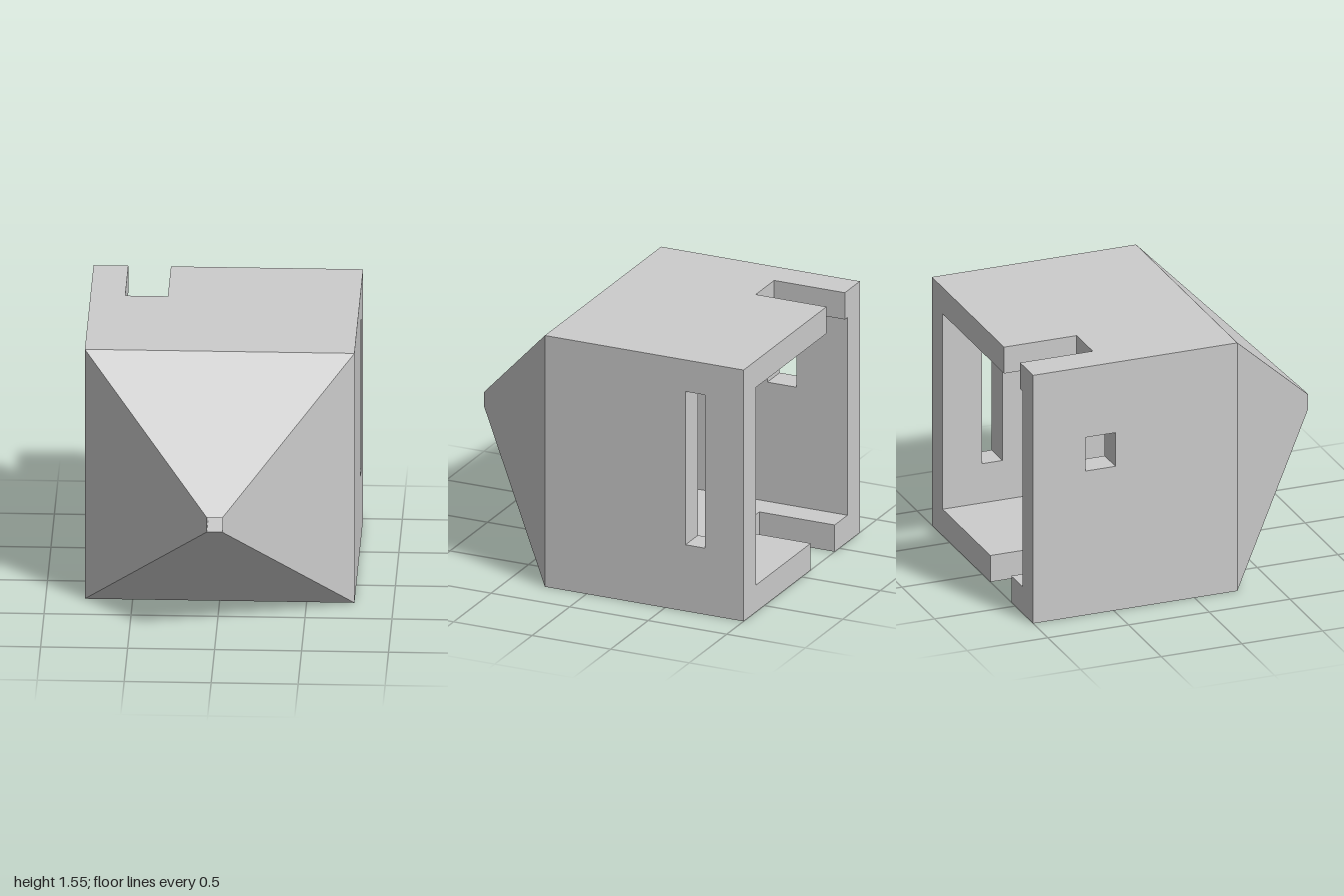
import * as THREE from 'three';

const HALF = 0.775;           // half width of the square housing
const HEIGHT = HALF * 2;
const WALL = 0.165;
const BACK = -1, INNER = 0.22, SHOULDER = 0.265, TIP = 1;
const BORE = 0.045;           // half width of the square bore in the nose

const material = new THREE.MeshStandardMaterial({ color: 0xcccccc, flatShading: true });

function polygon(points, Type = THREE.Shape) {
  return new Type(points.map(([a, b]) => new THREE.Vector2(a, b)));
}

function rectangle(a0, a1, b0, b1) {
  return [[a0, b0], [a1, b0], [a1, b1], [a0, b1]];
}

function panel(shape) {
  return new THREE.ExtrudeGeometry(shape, { depth: WALL, bevelEnabled: false });
}

// Horizontal plate drawn in (x, z), notched from its back edge
function notchedPlate(name, topY, x0, x1, depthZ) {
  const shape = polygon([
    [-HALF, BACK], [x0, BACK], [x0, depthZ], [x1, depthZ], [x1, BACK],
    [HALF, BACK], [HALF, INNER], [-HALF, INNER],
  ]);
  const mesh = new THREE.Mesh(panel(shape).rotateX(Math.PI / 2), material);
  mesh.name = name;
  mesh.position.y = topY;
  return mesh;
}

// Upright wall drawn in (z, y), pierced by one rectangular window
function windowedWall(name, outerX, z0, z1, y0, y1) {
  const shape = polygon(rectangle(BACK, INNER, WALL, HEIGHT - WALL));
  shape.holes.push(polygon(rectangle(z0, z1, y0, y1), THREE.Path));
  const mesh = new THREE.Mesh(panel(shape).rotateY(-Math.PI / 2), material);
  mesh.name = name;
  mesh.position.x = outerX;
  return mesh;
}

// Front wall and pyramid nose with a square bore: a four-sided lathe
function boredNose() {
  const profile = [
    [BORE, INNER], [HALF, INNER], [HALF, SHOULDER], [BORE, TIP], [BORE, INNER],
  ].map(([half, z]) => new THREE.Vector2(half * Math.SQRT2, z));
  const geometry = new THREE.LatheGeometry(profile, 4, Math.PI / 4)
    .rotateX(Math.PI / 2).toNonIndexed();
  geometry.computeVertexNormals();
  const mesh = new THREE.Mesh(geometry, material);
  mesh.name = 'pyramidNose';
  mesh.position.y = HALF;
  return mesh;
}

export function createModel() {
  const model = new THREE.Group();
  model.name = 'housing';
  model.add(
    notchedPlate('topPlate', HEIGHT, -0.575, -0.33, -0.55),
    notchedPlate('bottomPlate', WALL, -0.44, -0.12, -0.52),
    windowedWall('leftWall', HALF, -0.755, -0.63, 0.41, 1.355),
    windowedWall('rightWall', -HALF + WALL, -0.675, -0.49, 0.9, 1.11),
    boredNose(),
  );
  return model;
}
